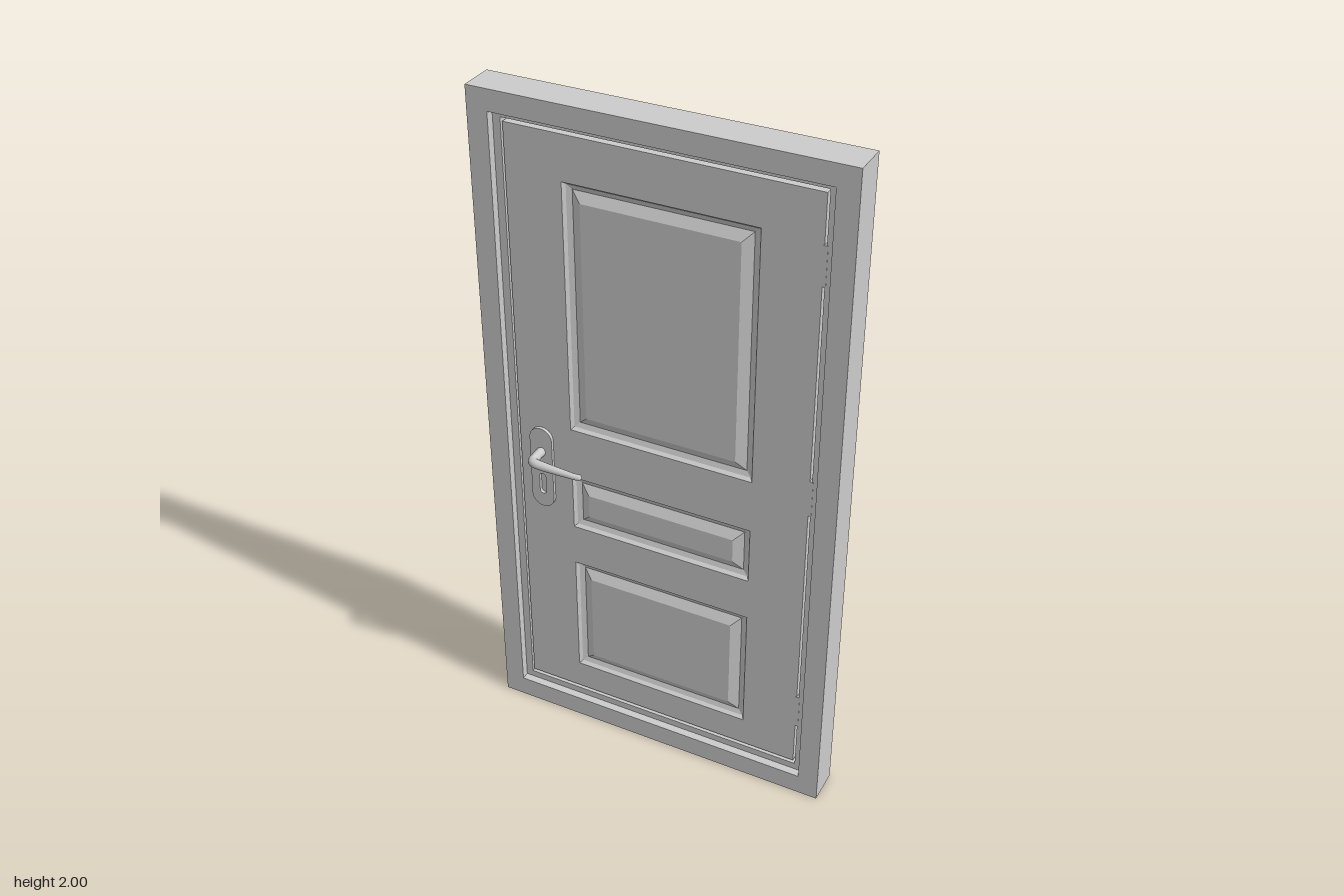
import * as THREE from 'three';

const material = new THREE.MeshStandardMaterial({ color: 0xcccccc });
const LEAF_Z = 0.028; // half thickness of the door leaf

function add(parent, name, geometry, x = 0, y = 0, z = 0) {
  const mesh = new THREE.Mesh(geometry, material);
  mesh.name = name;
  mesh.position.set(x, y, z);
  parent.add(mesh);
  return mesh;
}

// Rectangle outline, usable as Shape or Path (hole)
function rect(Type, x0, y0, x1, y1) {
  return new Type([[x0, y0], [x1, y0], [x1, y1], [x0, y1]].map(p => new THREE.Vector2(...p)));
}

// Vertical stadium outline (rounded top and bottom)
function stadium(Type, x, y, r, half) {
  const p = new Type();
  p.moveTo(x + r, y - half + r);
  p.lineTo(x + r, y + half - r);
  p.absarc(x, y + half - r, r, 0, Math.PI);
  p.lineTo(x - r, y - half + r);
  p.absarc(x, y - half + r, r, Math.PI, Math.PI * 2);
  return p;
}

// Slab centred on z = 0, cut by the given holes
function slab(outline, holes, depth) {
  outline.holes.push(...holes);
  return new THREE.ExtrudeGeometry(outline, { depth, bevelEnabled: false, curveSegments: 12 })
    .translate(0, 0, -depth / 2);
}

// Raised panel: moulded lip, groove, sloping border and flat field
function panelGeometry(w, h) {
  const rings = [[0, LEAF_Z], [0.007, 0.018], [0.022, 0.012], [0.05, 0.027]];
  const corners = rings.map(([inset, z]) => {
    const a = w / 2 - inset, b = h / 2 - inset;
    return [[-a, -b, z], [a, -b, z], [a, b, z], [-a, b, z]];
  });
  const pos = [];
  const quad = (a, b, c, d) => pos.push(...a, ...b, ...c, ...a, ...c, ...d);
  for (let i = 0; i < 3; i++) {
    for (let k = 0; k < 4; k++) {
      const n = (k + 1) % 4;
      quad(corners[i][k], corners[i][n], corners[i + 1][n], corners[i + 1][k]);
    }
  }
  quad(...corners[3]);
  const g = new THREE.BufferGeometry();
  g.setAttribute('position', new THREE.Float32BufferAttribute(pos, 3));
  g.computeVertexNormals();
  return g;
}

// Bent lever that narrows to its tip; side is +1 front, -1 back
function leverGeometry(side) {
  const points = [
    [-0.363, 0.943, 0.03], [-0.363, 0.943, 0.07], [-0.361, 0.943, 0.089],
    [-0.349, 0.943, 0.096], [-0.32, 0.941, 0.0965], [-0.26, 0.937, 0.094],
    [-0.225, 0.935, 0.092], [-0.207, 0.934, 0.087],
  ].map(([x, y, z]) => new THREE.Vector3(x, y, z * side));
  const curve = new THREE.CatmullRomCurve3(points);
  const segments = 48, sides = 14;
  const g = new THREE.TubeGeometry(curve, segments, 0.0135, sides);
  const p = g.attributes.position, v = new THREE.Vector3();
  for (let i = 0; i <= segments; i++) {
    const t = i / segments, c = curve.getPointAt(t);
    const k = i === segments ? 0 : 1 - 0.35 * THREE.MathUtils.smoothstep(t, 0.3, 1);
    for (let j = 0; j <= sides; j++) {
      const n = i * (sides + 1) + j;
      v.fromBufferAttribute(p, n).sub(c).multiplyScalar(k).add(c);
      p.setXYZ(n, v.x, v.y, v.z);
    }
  }
  g.computeVertexNormals();
  return g;
}

export function createModel() {
  const door = new THREE.Group();
  door.name = 'door';

  // Frame with a recessed inner stop
  add(door, 'frame', slab(rect(THREE.Shape, -0.522, 0, 0.522, 2),
    [rect(THREE.Path, -0.462, 0.063, 0.462, 1.94)], 0.103));
  add(door, 'frameStop', slab(rect(THREE.Shape, -0.462, 0.063, 0.462, 1.94),
    [rect(THREE.Path, -0.44, 0.084, 0.44, 1.921)], LEAF_Z * 2));

  // Leaf with three panel openings: [bottom, top]
  const panels = [[0.185, 0.575], [0.705, 0.878], [1.038, 1.782]];
  const half = 0.272;
  add(door, 'leaf', slab(rect(THREE.Shape, -0.434, 0.095, 0.434, 1.911),
    panels.map(([a, b]) => rect(THREE.Path, -half, a, half, b)), LEAF_Z * 2));
  for (const [a, b] of panels) {
    const geometry = panelGeometry(half * 2, b - a);
    add(door, 'frontPanel', geometry, 0, (a + b) / 2);
    add(door, 'backPanel', geometry, 0, (a + b) / 2).rotation.y = Math.PI;
  }

  // Hinges bridging the gap on the left side
  for (const y of [0.29, 1.04, 1.72]) {
    add(door, 'hinge', new THREE.BoxGeometry(0.012, 0.11, LEAF_Z * 2 + 0.002), 0.437, y, 0);
  }

  // Lever handle and plate with keyhole on both faces
  for (const side of [1, -1]) {
    const handle = new THREE.Group();
    handle.name = side > 0 ? 'frontHandle' : 'backHandle';
    add(handle, 'plate', slab(stadium(THREE.Shape, -0.364, 0.887, 0.035, 0.132),
      [stadium(THREE.Path, -0.363, 0.833, 0.01, 0.034)], 0.01), 0, 0, side * (LEAF_Z + 0.005));
    add(handle, 'lever', leverGeometry(side));
    door.add(handle);
  }
  return door;
}
